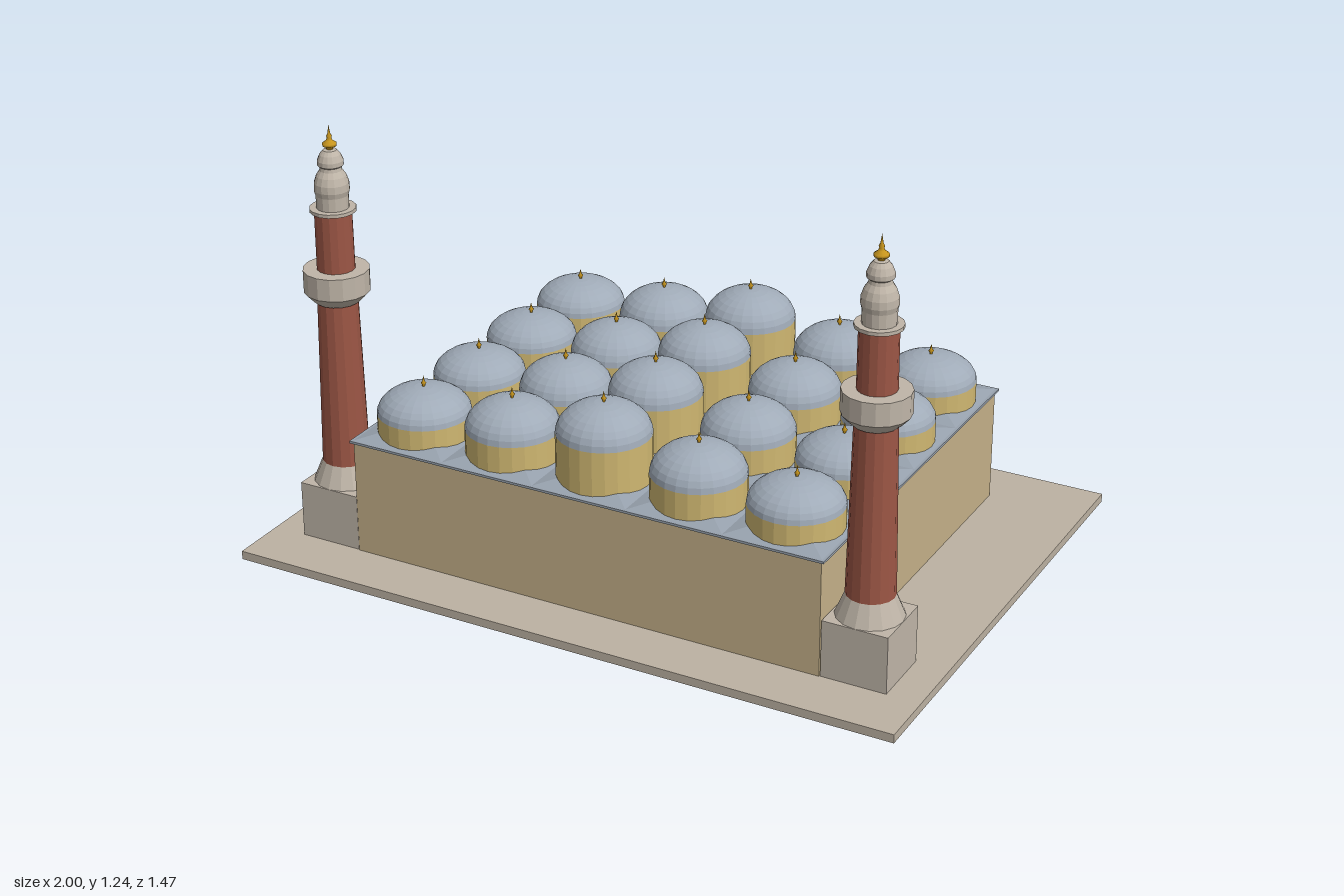
import * as THREE from 'three';

const mat = (name, color, flatShading = false) => {
  const m = new THREE.MeshStandardMaterial({ color, flatShading });
  m.name = name;
  return m;
};

export function createModel() {
  const model = new THREE.Group();
  model.name = 'domedHall';

  const paving = mat('paving', 0xbcb1a2);
  const wall = mat('sandstone wall', 0xc4b089);
  const drumMat = mat('yellow drum', 0xcfb771, true);
  const lead = mat('lead dome', 0xa0abb8, true);
  const roofMat = mat('lead roof', 0x98a2ae, true);
  const brick = mat('red brick', 0x9c5645, true);
  const stone = mat('pale stone', 0xbfb5a8, true);
  const gold = mat('gold', 0xc8961e);

  const add = (parent, name, geometry, material, x = 0, y = 0, z = 0) => {
    const mesh = new THREE.Mesh(geometry, material);
    mesh.name = name;
    mesh.position.set(x, y, z);
    parent.add(mesh);
    return mesh;
  };
  // Box and cylinder placed by their bottom and top heights
  const box = (parent, name, m, w, d, y0, y1, x = 0, z = 0) =>
    add(parent, name, new THREE.BoxGeometry(w, y1 - y0, d), m, x, (y0 + y1) / 2, z);
  const tube = (parent, name, m, r0, r1, y0, y1, sides) =>
    add(parent, name, new THREE.CylinderGeometry(r1, r0, y1 - y0, sides), m, 0, (y0 + y1) / 2, 0);
  const lathe = (points, sides) =>
    new THREE.LatheGeometry(points.map(([r, y]) => new THREE.Vector2(r, y)), sides);

  // Platform, hall and eaves
  box(model, 'platform', paving, 2, 1.47, 0, 0.025);
  box(model, 'hall', wall, 1.428, 1.146, 0.025, 0.36);
  box(model, 'eaves', roofMat, 1.446, 1.16, 0.36, 0.367);

  // Domed bays: a low hipped roof, a drum, a dome and a finial each
  const cell = 0.286;
  const bays = [
    { drumTop: 0.5, domeTop: 0.589 },
    { drumTop: 0.448, domeTop: 0.536 },
    { drumTop: 0.43, domeTop: 0.506 },
  ];
  const hip = new THREE.ConeGeometry(cell / Math.SQRT2, 0.036, 4, 1, true);
  hip.rotateY(Math.PI / 4);
  const cap = new THREE.SphereGeometry(0.132, 24, 8, 0, Math.PI * 2, 0, Math.PI / 2);
  const finial = lathe([[0.004, -0.004], [0.004, 0.004], [0.008, 0.009], [0.004, 0.014], [0, 0.031]], 8);
  for (let i = -2; i <= 2; i++) {
    const { drumTop, domeTop } = bays[Math.abs(i)];
    for (let j = 0; j < 4; j++) {
      const bay = new THREE.Group();
      bay.name = 'domedBay';
      bay.position.set(i * cell, 0, (j - 1.5) * cell);
      add(bay, 'hippedRoof', hip, roofMat, 0, 0.367 + 0.018, 0);
      tube(bay, 'drum', drumMat, 0.132, 0.132, 0.366, drumTop, 24);
      add(bay, 'dome', cap, lead, 0, drumTop, 0).scale.y = (domeTop - drumTop) / 0.132;
      add(bay, 'domeFinial', finial, gold, 0, domeTop, 0);
      model.add(bay);
    }
  }

  // Two minarets at the front corners
  const balcony = lathe([[0.05, 0.735], [0.062, 0.735], [0.075, 0.747], [0.092, 0.766],
    [0.092, 0.83], [0.05, 0.83]], 16);
  const spire = lathe([[0.045, 1.008], [0.045, 1.045], [0.049, 1.06], [0.048, 1.08],
    [0.041, 1.1], [0.031, 1.115], [0.029, 1.125], [0.036, 1.13], [0.036, 1.143],
    [0.029, 1.16], [0.019, 1.172], [0, 1.176]], 16);
  const tip = lathe([[0.008, 1.17], [0.01, 1.178], [0.02, 1.184], [0.02, 1.191],
    [0.009, 1.199], [0.006, 1.206], [0.008, 1.211], [0.004, 1.218], [0, 1.243]], 10);
  for (const side of [-1, 1]) {
    const tower = new THREE.Group();
    tower.name = side > 0 ? 'leftMinaret' : 'rightMinaret';
    tower.position.set(side * 0.81, 0, 0.477);
    box(tower, 'minaretBase', stone, 0.187, 0.187, 0.025, 0.19);
    tube(tower, 'minaretFoot', stone, 0.093, 0.067, 0.19, 0.252, 16);
    tube(tower, 'lowerShaft', brick, 0.067, 0.057, 0.252, 0.737, 16);
    add(tower, 'balcony', balcony, stone);
    tube(tower, 'upperShaft', brick, 0.053, 0.052, 0.82, 1, 16);
    tube(tower, 'cornice', stone, 0.064, 0.064, 0.998, 1.008, 16);
    add(tower, 'spire', spire, stone);
    add(tower, 'minaretFinial', tip, gold);
    model.add(tower);
  }
  return model;
}
